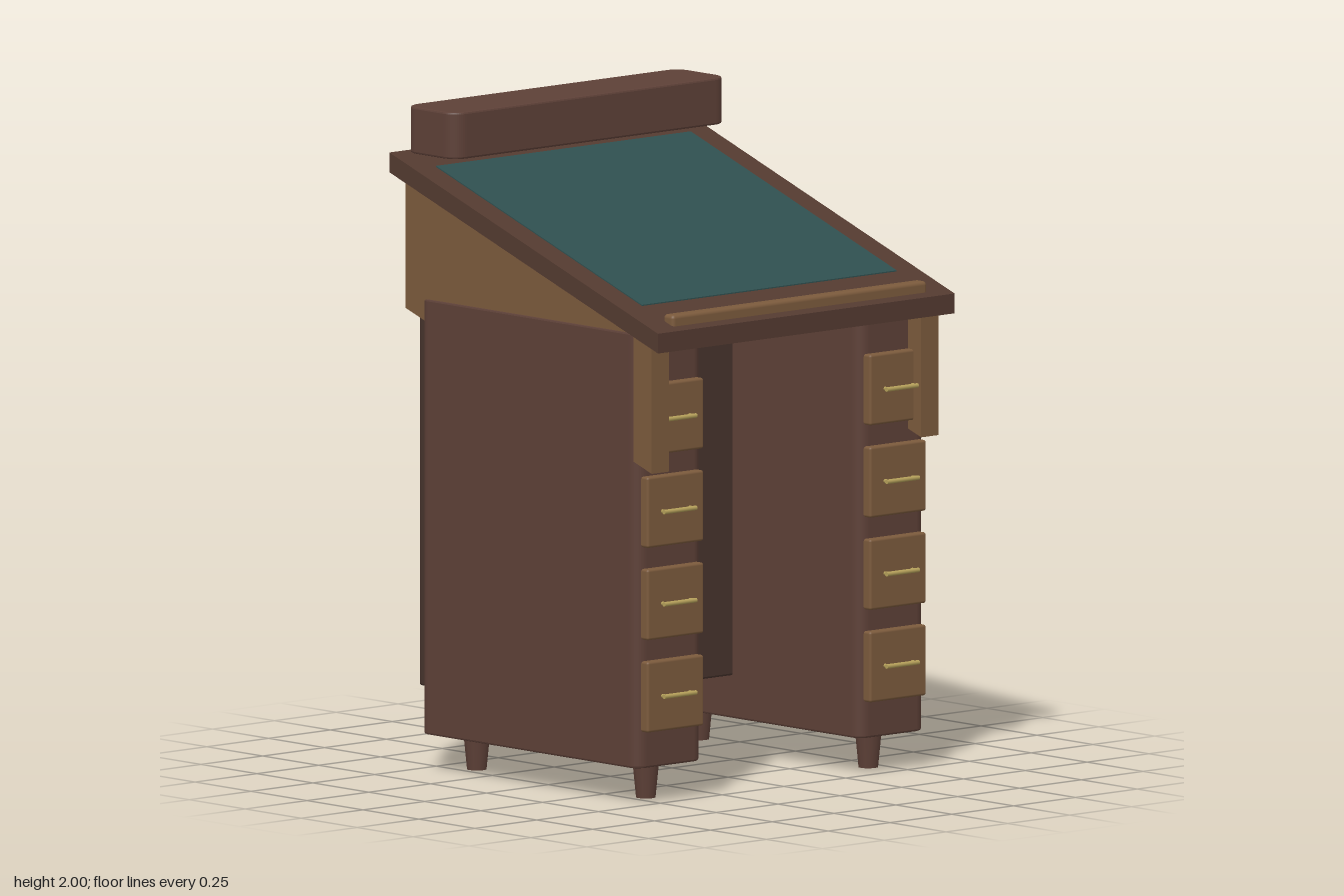
import * as THREE from 'three';
import { RoundedBoxGeometry } from 'three/addons/geometries/RoundedBoxGeometry.js';

const mat = (color) => new THREE.MeshStandardMaterial({ color });
const SLOPE = 0.415 / 1.2; // rise of the desk top towards the back

export function createModel() {
  const desk = new THREE.Group();
  desk.name = 'slantedDesk';
  const walnut = mat(0x5d4037);
  const darkWalnut = mat(0x46332c);
  const edgeWood = mat(0x533a30);
  const oak = mat(0x7b5a3c);
  const felt = mat(0x2f4f4f);
  const brass = mat(0xb5a05a);

  function add(name, geometry, material, x = 0, y = 0, z = 0, parent = desk) {
    const mesh = new THREE.Mesh(geometry, material);
    mesh.name = name;
    mesh.position.set(x, y, z);
    parent.add(mesh);
    return mesh;
  }

  // Box with rounded upright corners and a fine bevel, centred on its origin
  function cabinet(w, h, d, r, bevel = 0.006) {
    const x = w / 2 - bevel, z = d / 2 - bevel;
    const s = new THREE.Shape();
    s.moveTo(-x + r, -z);
    s.lineTo(x - r, -z);
    s.absarc(x - r, -z + r, r, -Math.PI / 2, 0);
    s.absarc(x - r, z - r, r, 0, Math.PI / 2);
    s.absarc(-x + r, z - r, r, Math.PI / 2, Math.PI);
    s.absarc(-x + r, -z + r, r, Math.PI, Math.PI * 1.5);
    const g = new THREE.ExtrudeGeometry(s, {
      depth: h - 2 * bevel, bevelThickness: bevel, bevelSize: bevel,
      bevelSegments: 2, curveSegments: 6,
    });
    return g.rotateX(-Math.PI / 2).translate(0, -h / 2 + bevel, 0);
  }

  // Box whose top and bottom follow the slope, with upright ends
  function slantedBox(w, h, d, z = 0) {
    const g = new THREE.BoxGeometry(w, h, d).translate(0, 0, z);
    const p = g.attributes.position;
    for (let i = 0; i < p.count; i++) p.setY(i, p.getY(i) - SLOPE * p.getZ(i));
    g.computeVertexNormals();
    return g;
  }

  // Sloping top with its writing surface and pencil ledge
  add('deskTop', slantedBox(1.2, 0.06, 1.2), edgeWood, 0, 1.6225, 0);
  add('writingSurface', slantedBox(1.03, 0.006, 0.92, -0.025), felt, 0, 1.653, 0);
  add('pencilLedge', new RoundedBoxGeometry(1.03, 0.045, 0.046, 3, 0.012), oak, 0, 1.466, 0.55);

  // Shelf box along the back edge
  add('topShelf', cabinet(1.11, 0.142, 0.225, 0.045), walnut, 0, 1.929, -0.4725);

  // Cabinet between the pedestals
  add('backCabinet', cabinet(1.03, 1.225, 0.5, 0.025), darkWalnut, 0, 0.8525, -0.327);

  for (const side of [-1, 1]) {
    const x = side * 0.45;
    const name = side > 0 ? 'left' : 'right';

    // Side panel carrying the top
    add(name + 'SidePanel', slantedBox(0.07, 0.39, 1.1), oak, side * 0.545, 1.3975, 0);

    // Pedestal
    const pedestal = new THREE.Group();
    pedestal.name = name + 'Pedestal';
    pedestal.position.x = x;
    desk.add(pedestal);
    add('pedestalBody', cabinet(0.27, 1.32, 0.975, 0.034), walnut, 0, 0.77, 0.0025, pedestal);

    // Drawers with bar handles
    for (let i = 0; i < 4; i++) {
      const drawer = new THREE.Group();
      drawer.name = 'drawer';
      drawer.position.set(0, 0.328 + 0.28 * i, 0.495);
      pedestal.add(drawer);
      add('drawerFront', new RoundedBoxGeometry(0.228, 0.215, 0.04, 2, 0.008), oak, 0, 0, 0, drawer);
      const bar = new THREE.CylinderGeometry(0.007, 0.007, 0.13, 10).rotateZ(Math.PI / 2);
      add('handleBar', bar, brass, 0, 0, 0.038, drawer);
      for (const end of [-1, 1]) {
        const post = new THREE.CylinderGeometry(0.006, 0.006, 0.025, 8).rotateX(Math.PI / 2);
        add('handlePost', post, brass, end * 0.055, 0, 0.027, drawer);
      }
    }

    // Tapered feet
    for (const z of [-0.375, 0.38]) {
      add('foot', new THREE.CylinderGeometry(0.042, 0.03, 0.12, 12), walnut, 0, 0.06, z, pedestal);
    }
  }
  return desk;
}
